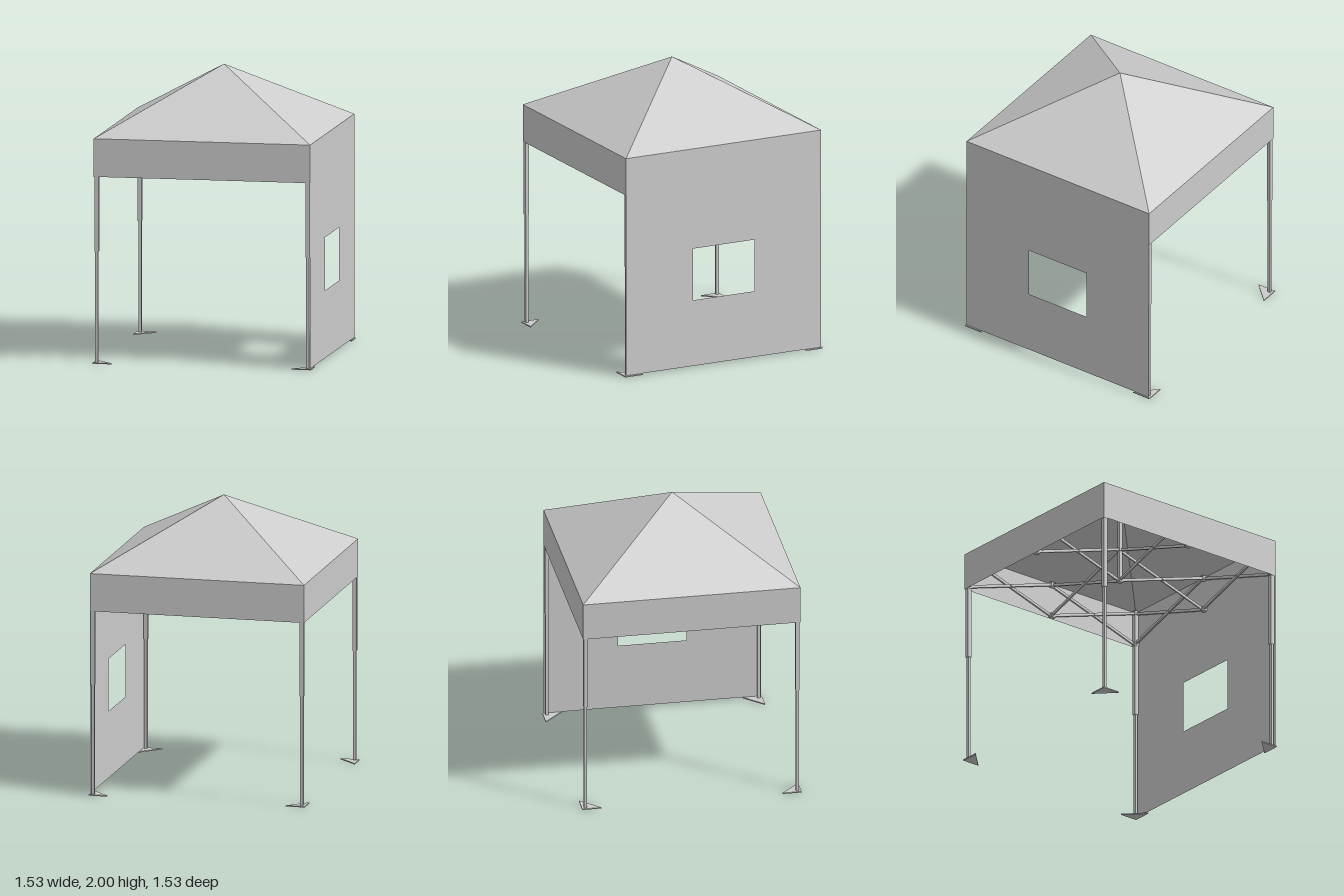
import * as THREE from 'three';

const HALF = 0.76, EAVE = 1.565, SKIRT = 1.3, APEX = 2;
const LEG = 0.741, TOP = 1.55, LOW = 1.315;

const metal = new THREE.MeshStandardMaterial({ color: 0xcccccc, flatShading: true });
const fabric = new THREE.MeshStandardMaterial({ color: 0xcccccc, flatShading: true, side: THREE.DoubleSide });

function add(parent, name, geometry, material, x = 0, y = 0, z = 0) {
  const mesh = new THREE.Mesh(geometry, material);
  mesh.name = name;
  mesh.position.set(x, y, z);
  parent.add(mesh);
  return mesh;
}

function box(parent, name, w, h, d, x, y, z) {
  return add(parent, name, new THREE.BoxGeometry(w, h, d), metal, x, y, z);
}

// Flat bar running between two points
function bar(parent, a, b) {
  const mesh = box(parent, 'trussBar', 0.011, 0.02, a.distanceTo(b), 0, 0, 0);
  mesh.position.copy(a).add(b).multiplyScalar(0.5);
  mesh.lookAt(b);
}

// Pair of crossing bars between two uprights, with a pivot pin
function scissor(parent, ax, az, bx, bz) {
  const group = new THREE.Group();
  group.name = 'scissorTruss';
  const dir = new THREE.Vector3(bx - ax, 0, bz - az).normalize();
  const side = new THREE.Vector3(dir.z, 0, -dir.x).multiplyScalar(0.006);
  const point = (x, y, z, s) => new THREE.Vector3(x, y, z).addScaledVector(side, s);
  bar(group, point(ax, TOP, az, 1), point(bx, LOW, bz, 1));
  bar(group, point(ax, LOW, az, -1), point(bx, TOP, bz, -1));
  const pin = add(group, 'pivotPin', new THREE.CylinderGeometry(0.007, 0.007, 0.03, 8), metal,
    (ax + bx) / 2, (TOP + LOW) / 2, (az + bz) / 2);
  pin.quaternion.setFromUnitVectors(new THREE.Vector3(0, 1, 0), side.clone().normalize());
  parent.add(group);
}

// Upper and lower joints where truss bars meet
function joints(parent, x, z) {
  for (const y of [TOP, LOW]) {
    box(parent, 'jointBlock', 0.034, 0.03, 0.034, x, y, z);
  }
}

// Telescopic leg with a triangular ground plate at one corner
function createLeg(sx, sz) {
  const leg = new THREE.Group();
  leg.name = 'leg';
  const x = sx * LEG, z = sz * LEG;
  box(leg, 'upperTube', 0.028, EAVE - 0.01 - 0.78, 0.028, x, (EAVE - 0.01 + 0.78) / 2, z);
  box(leg, 'lowerTube', 0.021, 0.78, 0.021, x, 0.395, z);

  const o = 0.767, i = 0.632;
  const corners = [[o, o], [i, o], [o, i]].map(([u, v]) => new THREE.Vector2(u * sx, -v * sz));
  const plate = new THREE.ExtrudeGeometry(new THREE.Shape(corners), { depth: 0.008, bevelEnabled: false });
  plate.rotateX(-Math.PI / 2);
  add(leg, 'footPlate', plate, metal);
  return leg;
}

export function createModel() {
  const model = new THREE.Group();
  model.name = 'canopyTent';
  const radius = HALF * Math.SQRT2;

  // Pyramid roof and the skirt hanging from its edge
  const roof = new THREE.ConeGeometry(radius, APEX - EAVE, 4, 1, true).rotateY(Math.PI / 4);
  add(model, 'roof', roof, fabric, 0, (APEX + EAVE) / 2, 0);
  const skirt = new THREE.CylinderGeometry(radius, radius, EAVE - SKIRT, 4, 1, true).rotateY(Math.PI / 4);
  add(model, 'skirt', skirt, fabric, 0, (EAVE + SKIRT) / 2, 0);

  // Side wall with a window opening
  const wall = new THREE.Shape([[-HALF, 0.01], [HALF, 0.01], [HALF, SKIRT], [-HALF, SKIRT]]
    .map(p => new THREE.Vector2(...p)));
  wall.holes.push(new THREE.Path([[-0.24, 0.48], [-0.24, 0.85], [0.24, 0.85], [0.24, 0.48]]
    .map(p => new THREE.Vector2(...p))));
  add(model, 'sideWall', new THREE.ShapeGeometry(wall).rotateY(Math.PI / 2), fabric, HALF, 0, 0);

  // Folding frame
  const frame = new THREE.Group();
  frame.name = 'frame';
  model.add(frame);
  for (const sx of [-1, 1]) {
    for (const sz of [-1, 1]) {
      frame.add(createLeg(sx, sz));
      joints(frame, sx * LEG, sz * LEG);
      scissor(frame, sx * LEG, sz * LEG, 0, sz * LEG);
      scissor(frame, sx * LEG, sz * LEG, sx * LEG, 0);
    }
  }
  for (const [x, z] of [[LEG, 0], [-LEG, 0], [0, LEG], [0, -LEG]]) {
    joints(frame, x, z);
    scissor(frame, x, z, 0, 0);
  }

  // Centre pole holding up the peak
  joints(frame, 0, 0);
  box(frame, 'centrePole', 0.026, 0.68, 0.026, 0, 1.64, 0);
  return model;
}
